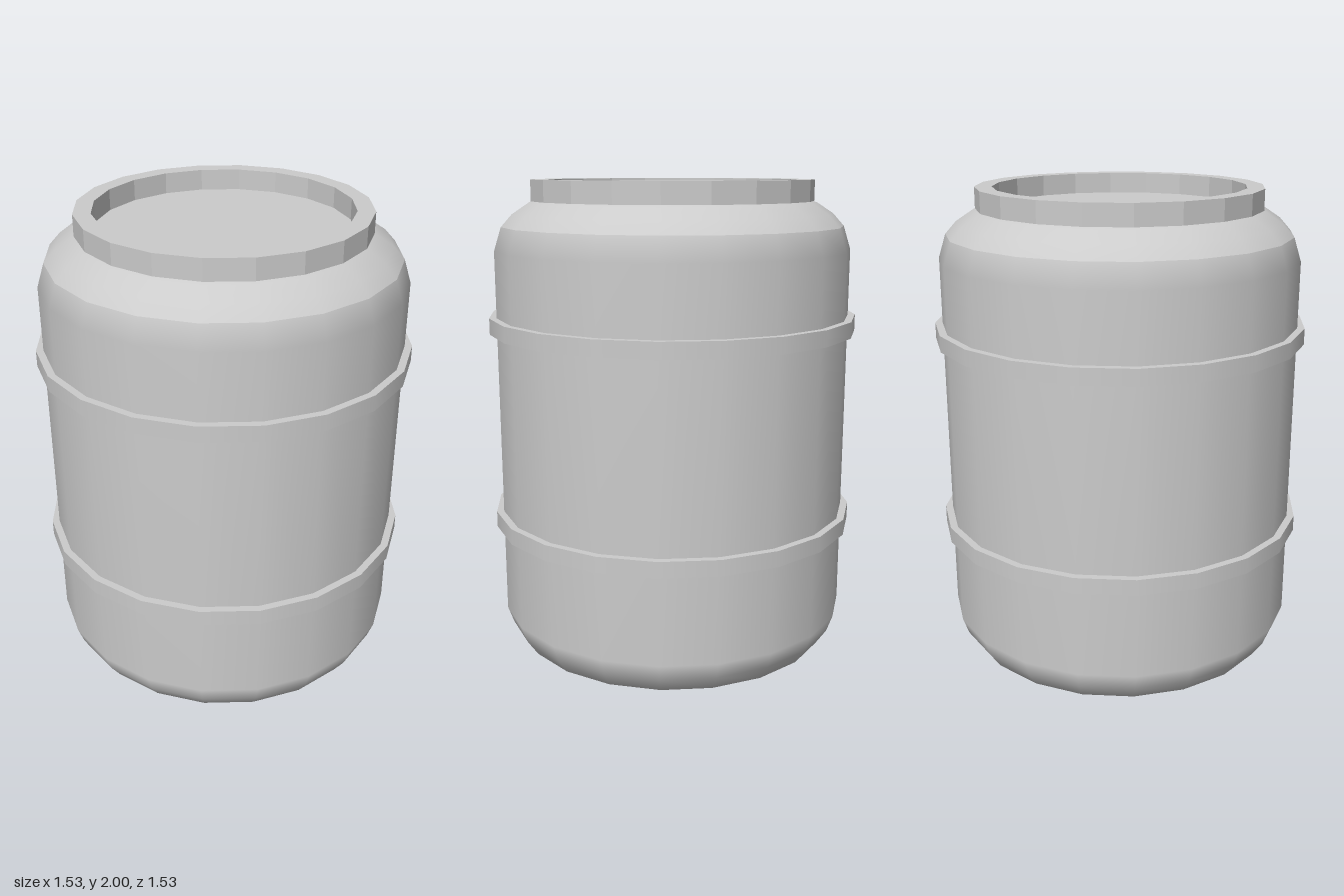
import * as THREE from 'three';
import { mergeGeometries } from 'three/addons/utils/BufferGeometryUtils.js';

const SIDES = 20;

// Each chain of [radius, height] points is smooth; edges between chains stay sharp.
function turned(name, chains, flatShading = false) {
  const parts = chains.map((chain) =>
    new THREE.LatheGeometry(chain.map(([r, y]) => new THREE.Vector2(r, y)), SIDES));
  const material = new THREE.MeshStandardMaterial({ color: 0xcccccc, flatShading });
  const mesh = new THREE.Mesh(mergeGeometries(parts), material);
  mesh.name = name;
  return mesh;
}

// Splits a polyline into one chain per segment, so every corner is sharp.
const sharp = (points) => points.slice(1).map((p, i) => [points[i], p]);

export function createModel() {
  const group = new THREE.Group();
  group.name = 'barrel';

  // Body: rounded base and straight wall, then the sloping shoulder
  group.add(turned('body', [
    [[0, 0], [0.5, 0], [0.6, 0.02], [0.665, 0.055], [0.71, 0.12], [0.735, 0.19],
      [0.735, 1.72], [0.705, 1.815]],
    [[0.705, 1.815], [0.66, 1.865], [0.595, 1.908], [0.57, 1.917]],
  ]));

  // Two raised hoops around the wall
  for (const [name, y] of [['lowerHoop', 0.562], ['upperHoop', 1.385]]) {
    const top = y + 0.066;
    group.add(turned(name, sharp([[0.73, y], [0.765, y], [0.765, top], [0.73, top]])));
  }

  // Collar around the mouth, with the sunken lid inside
  group.add(turned('collar', sharp([
    [0.56, 1.915], [0.582, 1.915], [0.582, 2], [0.512, 2], [0.512, 1.915],
  ]), true));
  group.add(turned('lid', [[[0.512, 1.915], [0, 1.915]]]));

  return group;
}
